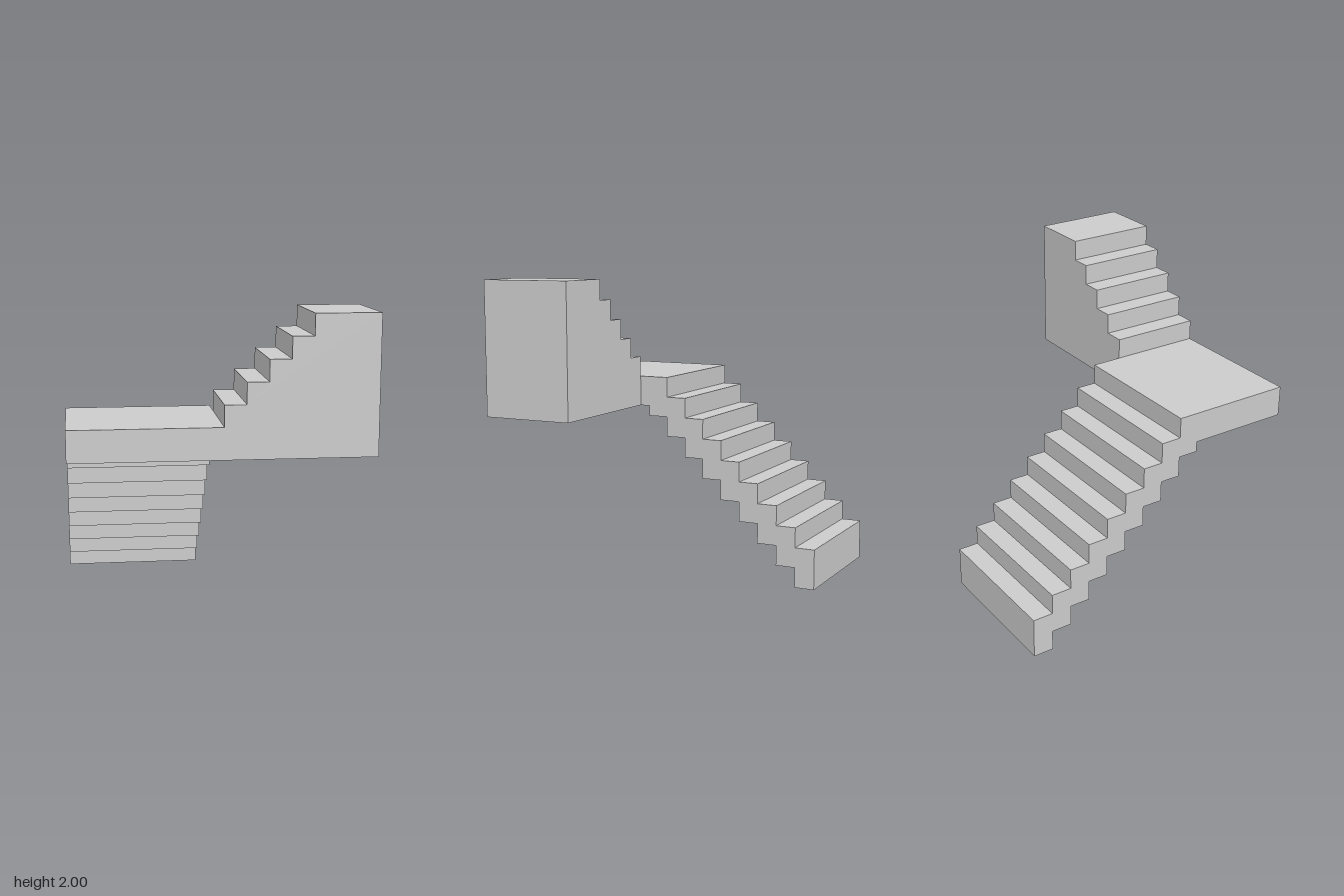
import * as THREE from 'three';

const STEP = 2 / 15;   // tread depth and riser height
const HALF = 7 * STEP; // half of the plan size
const BASE = 1.135;    // underside of the landing and upper flight

const material = new THREE.MeshStandardMaterial({ color: 0xcccccc, flatShading: true });

function extrudeProfile(name, points, depth) {
  const shape = new THREE.Shape(points.map(([x, y]) => new THREE.Vector2(x, y)));
  const geometry = new THREE.ExtrudeGeometry(shape, { depth, bevelEnabled: false });
  const mesh = new THREE.Mesh(geometry, material);
  mesh.name = name;
  return mesh;
}

export function createModel() {
  const group = new THREE.Group();
  group.name = 'cornerStaircase';

  // Lower flight with stepped underside, running up to the corner landing
  const lower = [];
  for (let k = 0; k < 9; k++) { // underside, from the foot upwards
    const z = -HALF + k * STEP;
    lower.push([z, k * STEP], [z + STEP, k * STEP]);
  }
  lower.push([-HALF + 9 * STEP, BASE], [HALF, BASE], [HALF, 10 * STEP]);
  for (let k = 8; k > 0; k--) { // treads, from the landing downwards
    const z = -HALF + k * STEP;
    lower.push([z, (k + 2) * STEP], [z, (k + 1) * STEP]);
  }
  lower.push([-HALF, 2 * STEP]);
  const lowerFlight = extrudeProfile('lowerFlightAndLanding', lower, HALF);
  lowerFlight.rotation.y = -Math.PI / 2; // profile runs along z, width towards -x
  group.add(lowerFlight);

  // Solid upper flight, turning off the landing towards +x
  const upper = [[0, BASE], [HALF, BASE], [HALF, 15 * STEP]];
  for (let k = 4; k >= 0; k--) {
    upper.push([k * STEP, (k + 11) * STEP]);
    if (k > 0) upper.push([k * STEP, (k + 10) * STEP]);
  }
  const upperFlight = extrudeProfile('upperFlight', upper, 4.5 * STEP);
  upperFlight.position.z = HALF - 4.5 * STEP;
  group.add(upperFlight);

  return group;
}
